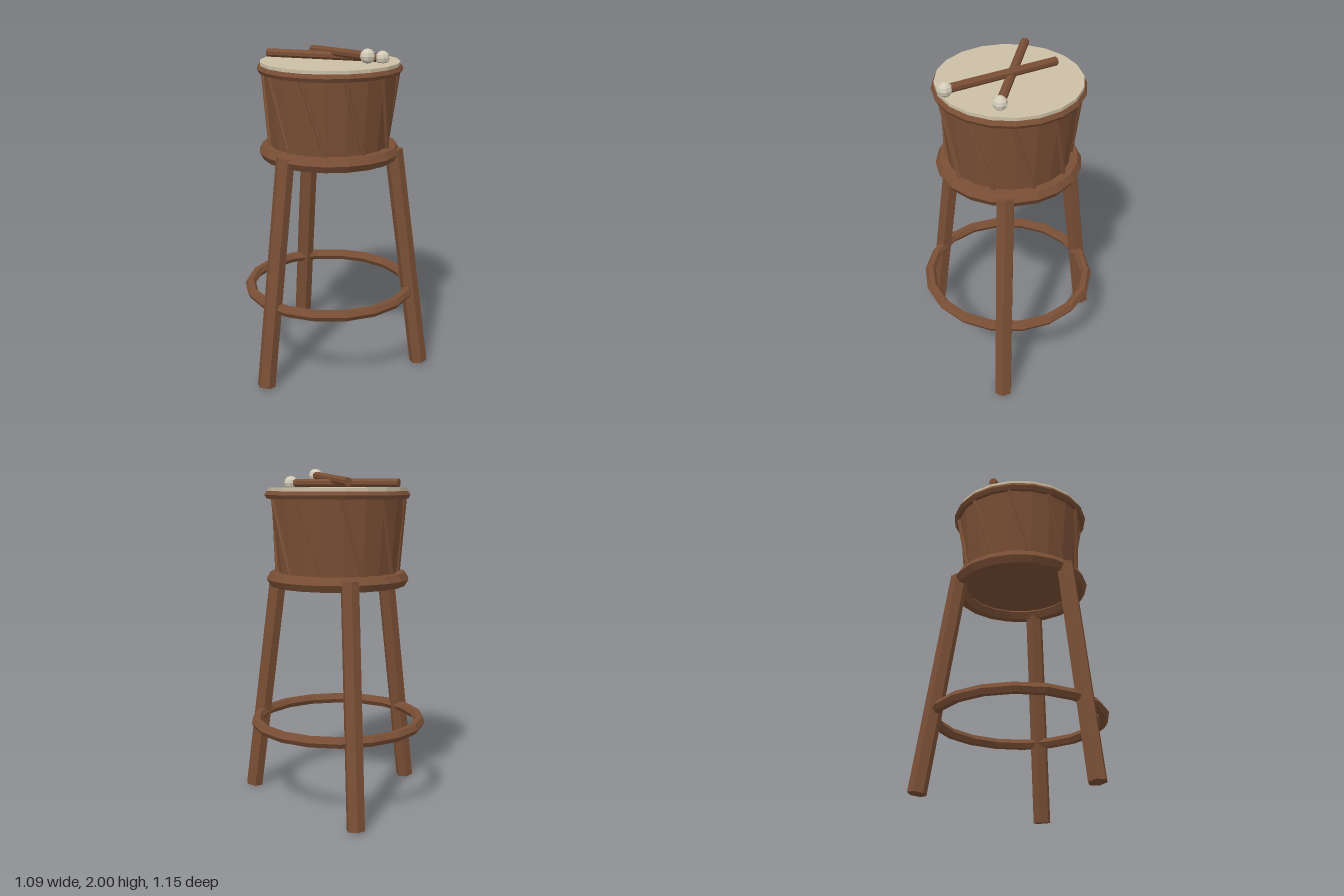
import * as THREE from 'three';

export function createModel() {
  const model = new THREE.Group();
  model.name = 'drumOnStand';

  const mat = (name, color) => {
    const m = new THREE.MeshStandardMaterial({ color, flatShading: true });
    m.name = name;
    return m;
  };
  const wood = mat('brown wood', 0x7a4f35);
  const skin = mat('cream skin', 0xcbbfa5);
  const felt = mat('pale felt', 0xd3ccb8);

  const add = (parent, name, geometry, material) => {
    const mesh = new THREE.Mesh(geometry, material);
    mesh.name = name;
    parent.add(mesh);
    return mesh;
  };

  // Straight rod between two points
  const rod = (parent, name, a, b, radius, sides, material) => {
    const dir = b.clone().sub(a);
    const mesh = add(parent, name, new THREE.CylinderGeometry(radius, radius, dir.length(), sides), material);
    mesh.position.copy(a).add(b).multiplyScalar(0.5);
    mesh.quaternion.setFromUnitVectors(new THREE.Vector3(0, 1, 0), dir.normalize());
    return mesh;
  };

  // Horizontal hoop with a six-sided section
  const hoop = (parent, name, y, radius, tube, sides) => {
    const geometry = new THREE.TorusGeometry(radius, tube, 6, sides).rotateX(Math.PI / 2);
    add(parent, name, geometry, wood).position.y = y;
  };

  const drum = new THREE.Group();
  drum.name = 'drumAndStand';
  drum.position.set(-0.008, 0, -0.053);
  model.add(drum);

  // Tapered shell and skin
  add(drum, 'shell', new THREE.CylinderGeometry(0.393, 0.346, 0.49, 20), wood).position.y = 1.615;
  add(drum, 'drumSkin', new THREE.CylinderGeometry(0.408, 0.408, 0.04, 20), skin).position.y = 1.867;

  // Hoops
  hoop(drum, 'topRim', 1.846, 0.401, 0.025, 20);
  hoop(drum, 'seatRing', 1.36, 0.375, 0.046, 20);
  hoop(drum, 'footRing', 0.497, 0.495, 0.033, 18);

  // Slanted tension cords around the shell
  const polar = (angle, radius, y) =>
    new THREE.Vector3(Math.sin(angle) * radius, y, Math.cos(angle) * radius);
  for (let i = 0; i < 10; i++) {
    const foot = i * Math.PI / 5;
    const head = foot - THREE.MathUtils.degToRad(21);
    rod(drum, 'tensionCord', polar(foot, 0.358, 1.39), polar(head, 0.397, 1.84), 0.013, 6, wood);
  }

  // Three splayed legs
  for (let i = 0; i < 3; i++) {
    const pivot = new THREE.Group();
    pivot.name = 'leg';
    pivot.rotation.y = THREE.MathUtils.degToRad(-1.5 + i * 120);
    drum.add(pivot);
    rod(pivot, 'legPost', new THREE.Vector3(0, 0.012, 0.573), new THREE.Vector3(0, 1.378, 0.383), 0.054, 6, wood);
  }

  // Crossed beaters lying on the skin
  const beater = (name, tail, head) => {
    const group = new THREE.Group();
    group.name = name;
    model.add(group);
    rod(group, 'stick', tail, head, 0.025, 8, wood);
    add(group, 'beaterHead', new THREE.SphereGeometry(0.041, 8, 6), felt).position.copy(head);
  };
  beater('lowerBeater', new THREE.Vector3(-0.385, 1.913, 0.07), new THREE.Vector3(0.28, 1.914, -0.172));
  beater('upperBeater', new THREE.Vector3(-0.262, 1.918, -0.2), new THREE.Vector3(0.377, 1.96, 0.099));

  return model;
}
